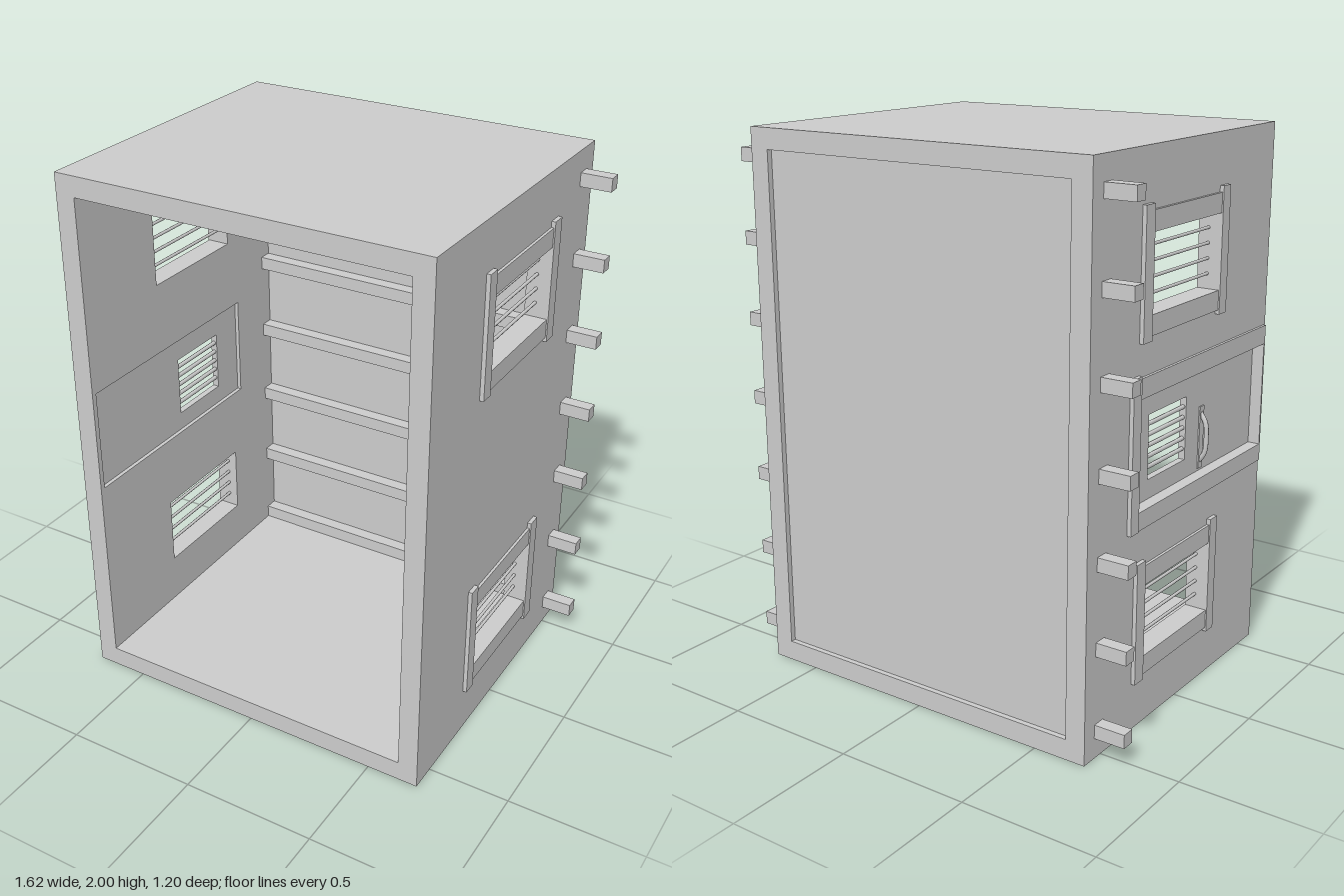
import * as THREE from 'three';

const material = new THREE.MeshStandardMaterial({ color: 0xcccccc, flatShading: true });
const smooth = new THREE.MeshStandardMaterial({ color: 0xcccccc });

// Box given by its extents
function box(parent, name, x0, x1, y0, y1, z0, z1) {
  const mesh = new THREE.Mesh(new THREE.BoxGeometry(x1 - x0, y1 - y0, z1 - z0), material);
  mesh.position.set((x0 + x1) / 2, (y0 + y1) / 2, (z0 + z1) / 2);
  mesh.name = name;
  parent.add(mesh);
  return mesh;
}

// Rectangle as [z0, z1, y0, y1]
function rect(Type, [z0, z1, y0, y1]) {
  const p = new Type();
  p.moveTo(z0, y0);
  p.lineTo(z1, y0);
  p.lineTo(z1, y1);
  p.lineTo(z0, y1);
  p.closePath();
  return p;
}

// Upright slab in the zy plane with rectangular holes, thick from x0 to x1
function slab(parent, name, x0, x1, outline, holes) {
  const shape = rect(THREE.Shape, outline);
  shape.holes = holes.map((h) => rect(THREE.Path, h));
  const geometry = new THREE.ExtrudeGeometry(shape, { depth: x1 - x0, bevelEnabled: false });
  const mesh = new THREE.Mesh(geometry, material);
  mesh.rotation.y = -Math.PI / 2;
  mesh.position.x = x1;
  mesh.name = name;
  parent.add(mesh);
}

// Row of thin horizontal rods filling a hole
function rods(parent, name, x, [z0, z1, y0, y1], count, radius) {
  for (let i = 1; i <= count; i++) {
    const rod = new THREE.Mesh(new THREE.CylinderGeometry(radius, radius, z1 - z0 + 0.02, 8), smooth);
    rod.rotation.x = Math.PI / 2;
    rod.position.set(x, y0 + ((y1 - y0) * i) / (count + 1), (z0 + z1) / 2);
    rod.name = name;
    parent.add(rod);
  }
}

// Raised surround and rods of one window; side is +1 or -1
function makeWindow(side, face, hole) {
  const group = new THREE.Group();
  group.name = 'barredWindow';
  const [z0, z1, y0, y1] = hole;
  const trim = (name, out, ...yz) => {
    const a = face - side * 0.01, b = face + side * out;
    box(group, name, Math.min(a, b), Math.max(a, b), ...yz);
  };
  trim('windowPost', 0.015, y0 - 0.085, y1 + 0.092, z0 - 0.055, z0);
  trim('windowPost', 0.015, y0 - 0.085, y1 + 0.092, z1, z1 + 0.05);
  trim('windowHead', 0.01, y1, y1 + 0.07, z0, z1);
  trim('windowSill', 0.01, y0 - 0.07, y0, z0, z1);
  rods(group, 'windowRod', face - side * 0.0375, hole, 4, 0.006);
  return group;
}

export function createModel() {
  const model = new THREE.Group();
  model.name = 'cabin';
  const windows = [[-0.255, 0.2, 0.26, 0.525], [-0.255, 0.2, 1.46, 1.727]];
  const doorway = [-0.31, 0.58, 0.8, 1.19];

  // Shell: two pierced side walls, floor and roof, open front
  const side = [-0.6, 0.6, 0, 2];
  slab(model, 'leftWall', 0.62, 0.695, side, windows);
  slab(model, 'rightWall', -0.7, -0.625, side, [...windows, doorway]);
  box(model, 'floor', -0.625, 0.62, 0, 0.075, -0.6, 0.6);
  box(model, 'roof', -0.625, 0.62, 1.925, 2, -0.6, 0.6);
  box(model, 'backPanel', -0.625, 0.62, 0.075, 1.925, -0.58, -0.54);

  // Square beams running through both walls along the back
  for (let i = 0; i < 7; i++) {
    const y = 0.1 + i * 0.2985;
    box(model, 'beam', -0.815, 0.81, y - 0.025, y + 0.025, -0.54, -0.49);
  }

  for (const hole of windows) {
    model.add(makeWindow(1, 0.695, hole), makeWindow(-1, -0.7, hole));
  }

  // Door set back in its surround, with a small grille
  const door = new THREE.Group();
  door.name = 'door';
  model.add(door);
  const grille = [-0.175, 0.08, 0.87, 1.1];
  slab(door, 'doorPanel', -0.665, -0.64, doorway, [grille]);
  rods(door, 'grilleRod', -0.6525, grille, 5, 0.008);
  box(door, 'doorPost', -0.715, -0.69, 0.735, 1.27, -0.36, -0.31);
  box(door, 'doorHead', -0.71, -0.69, 1.19, 1.26, -0.31, 0.588);
  box(door, 'doorSill', -0.71, -0.69, 0.735, 0.8, -0.31, 0.588);
  box(door, 'doorStop', -0.71, -0.69, 0.8, 1.19, 0.58, 0.588);

  // Bowed pull handle
  const path = new THREE.CatmullRomCurve3([
    new THREE.Vector3(-0.66, 0.83, 0.19),
    new THREE.Vector3(-0.685, 0.87, 0.19),
    new THREE.Vector3(-0.69, 0.925, 0.19),
    new THREE.Vector3(-0.685, 0.98, 0.19),
    new THREE.Vector3(-0.66, 1.02, 0.19),
  ]);
  const handle = new THREE.Mesh(new THREE.TubeGeometry(path, 20, 0.009, 8), smooth);
  handle.name = 'doorHandle';
  door.add(handle);
  box(door, 'handlePlate', -0.67, -0.66, 0.81, 1.04, 0.175, 0.205);

  return model;
}
